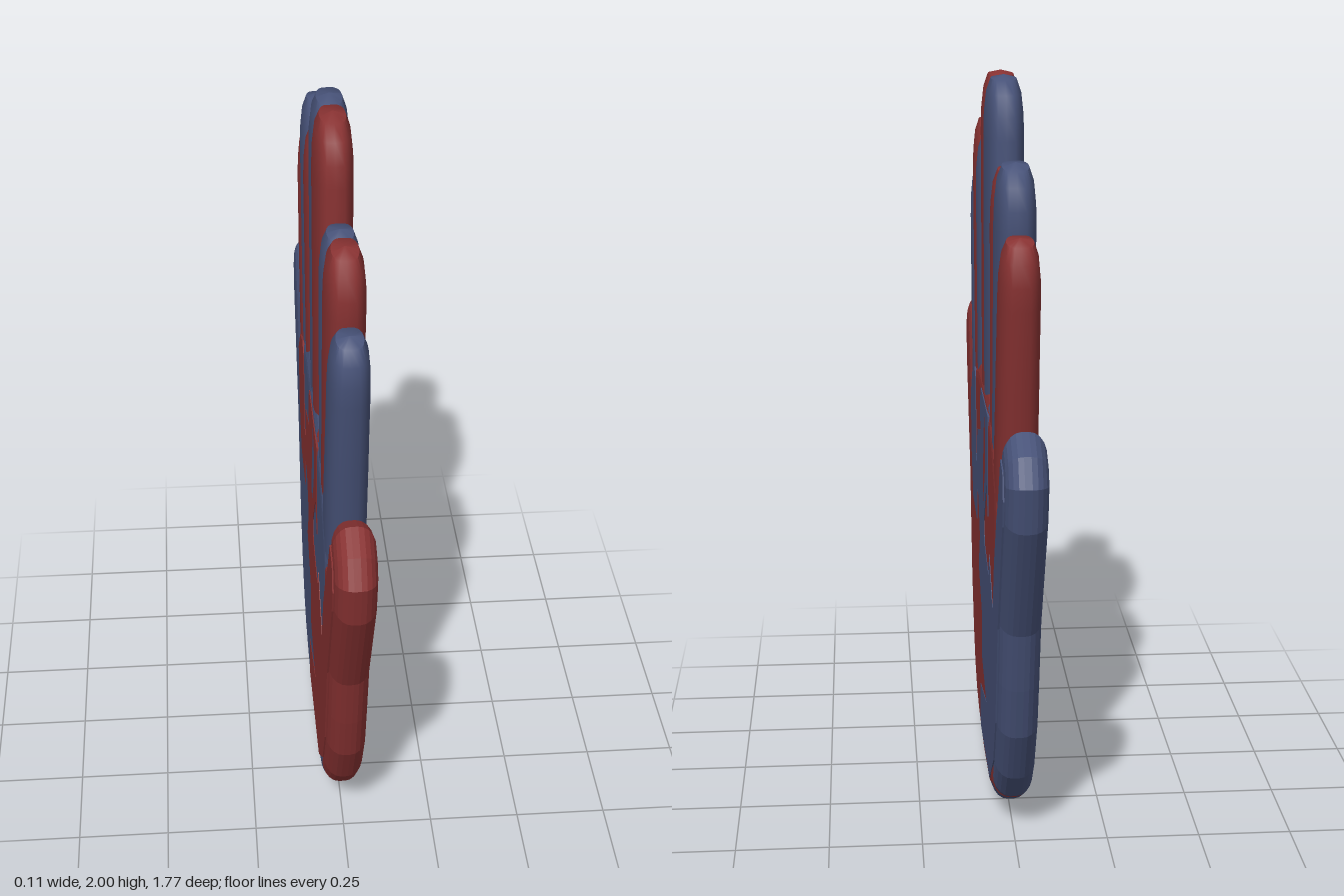
import * as THREE from 'three';
import { toCreasedNormals } from 'three/addons/utils/BufferGeometryUtils.js';

const HALF = 0.055; // half thickness of a hand
const vec = ([u, v]) => new THREE.Vector2(u, v);

// Palm and thumb outline as [z, y]
const PALM = [
  [0, 0], [0.2, 0.012], [0.33, 0.04], [0.43, 0.1], [0.51, 0.19], [0.6, 0.35], [0.645, 0.5], [0.69, 0.67],
  [0.86, 1.0], [0.885, 1.12], [0.845, 1.19], [0.77, 1.23], [0.7, 1.2], [0.62, 1.08], [0.565, 0.96],
  [0.5, 1.0], [0.4, 1.12], [0.2, 1.17], [-0.17, 1.17], [-0.4, 1.12], [-0.55, 1.02],
  [-0.565, 0.95], [-0.555, 0.75], [-0.56, 0.5], [-0.52, 0.25], [-0.4, 0.08], [-0.25, 0.02],
];

// Ragged area where one hand's palm shows over the other's, as [-z, y]
const PATCH = [
  [0.1, 0.07], [0.1, 0.2], [-0.17, 0.26], [0.03, 0.32], [0.02, 0.45], [0.17, 0.55], [0.11, 0.66],
  [0.18, 0.76], [0.24, 0.76], [0.26, 0.66], [0.45, 0.67], [0.53, 0.8], [0.555, 0.97], [0.47, 1.06],
  [0.36, 1.1], [0.31, 1.08], [0.28, 0.85], [0.25, 0.84], [0.22, 0.95], [0.07, 0.99], [0.09, 1.07],
  [0.05, 1.12], [-0.25, 1.12], [-0.25, 0.84], [-0.19, 0.91], [-0.08, 0.77], [-0.1, 0.71],
  [-0.27, 0.68], [-0.3, 0.75], [-0.44, 0.64], [-0.5, 0.8], [-0.56, 0.9], [-0.67, 1.05], [-0.73, 1.15],
  [-0.8, 1.14], [-0.82, 1.07], [-0.8, 1.0], [-0.635, 0.67], [-0.545, 0.37], [-0.46, 0.22], [-0.3, 0.09],
];
const PATCH_HOLE = [[-0.04, 0.8], [-0.04, 0.9], [-0.1, 1.09], [-0.15, 1.03], [-0.13, 0.93]];

// Fingers: base [z, y], tip [z, y], half width at base and at tip
const FINGERS = [
  ['indexFinger', [0.36, 0.98], [0.465, 1.83], 0.1, 0.103],
  ['middleFinger', [0.05, 0.98], [0.057, 2.0], 0.12, 0.126],
  ['ringFinger', [-0.27, 0.98], [-0.315, 1.8], 0.085, 0.092],
  ['littleFinger', [-0.455, 0.92], [-0.615, 1.67], 0.1, 0.085],
];

// Extrudes a [z, y] shape so that its face at the start of the extrusion lies at x
function slab(shape, x, options) {
  const geo = new THREE.ExtrudeGeometry(shape, options);
  geo.rotateY(-Math.PI / 2);
  return geo.translate(x, 0, 0);
}

// Flattened, blunt-tipped finger turned on a lathe, then squashed to a boxy oval section
function fingerGeometry(base, tip, wBase, wTip) {
  const dz = tip[0] - base[0], dy = tip[1] - base[1], len = Math.hypot(dz, dy);
  const profile = [
    [wBase, 0], [(wBase + wTip) / 2, len * 0.5], [wTip, len - 0.16], [wTip * 0.95, len - 0.1],
    [wTip * 0.78, len - 0.045], [wTip * 0.48, len - 0.01], [0.0001, len],
  ].map(vec);
  const geo = new THREE.LatheGeometry(profile, 24);
  const pos = geo.attributes.position;
  for (let i = 0; i < pos.count; i++) {
    const x = pos.getX(i);
    pos.setX(i, Math.sign(x) * (HALF - 0.002) * Math.pow(Math.min(1, Math.abs(x) / wTip), 0.6));
  }
  geo.rotateX(Math.atan2(dz, dy));
  geo.translate(0, base[1], base[0]);
  return toCreasedNormals(geo, 0.9);
}

function createHand(name, color) {
  const hand = new THREE.Group();
  hand.name = name;
  const material = new THREE.MeshStandardMaterial({ color });
  const add = (part, geo) => {
    const mesh = new THREE.Mesh(geo, material);
    mesh.name = part;
    hand.add(mesh);
  };

  // Palm with thumb, rounded at the rim and a touch thinner on one side
  const bevel = 0.045;
  add('palmAndThumb', slab(new THREE.Shape(PALM.map(vec)), HALF - bevel, {
    depth: 2 * HALF - 0.002 - 2 * bevel, bevelThickness: bevel,
    bevelSize: 0.06, bevelOffset: -0.06, bevelSegments: 5,
  }));

  // Raised skin on the thinner side
  const flip = ([u, v]) => new THREE.Vector2(-u, v);
  const skin = new THREE.Shape(PATCH.map(flip));
  skin.holes.push(new THREE.Path(PATCH_HOLE.map(flip)));
  add('palmSkin', slab(skin, -HALF + 0.004, { depth: 0.0055, bevelEnabled: false }));

  for (const [part, ...spec] of FINGERS) add(part, fingerGeometry(...spec));
  return hand;
}

export function createModel() {
  const model = new THREE.Group();
  model.name = 'overlappingHands';
  const red = createHand('redHand', 0x883232);
  // Same hand turned half round
  const blue = createHand('blueHand', 0x475278);
  blue.rotation.y = Math.PI;
  model.add(red, blue);
  return model;
}
